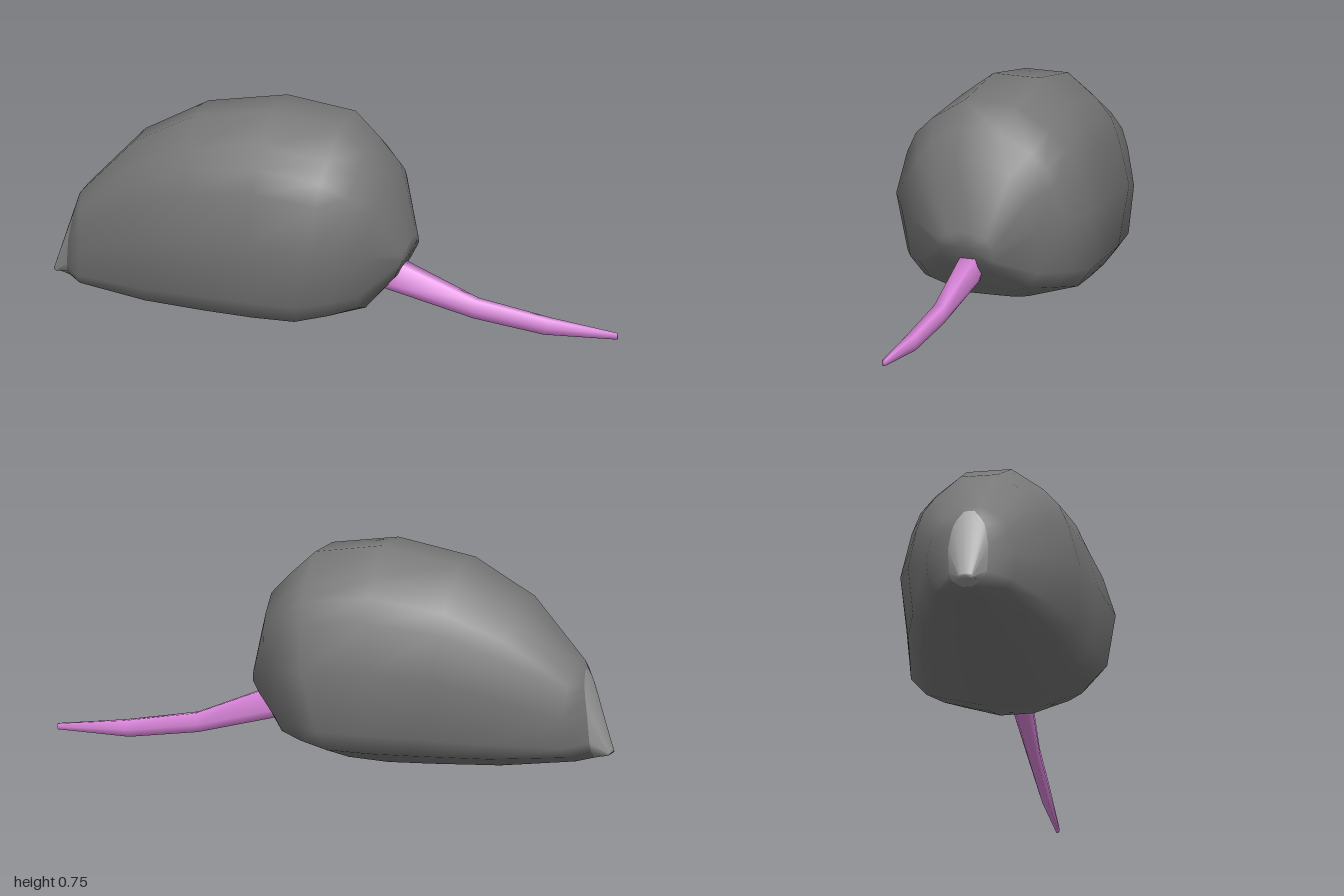
import * as THREE from 'three';

// Half outlines as [width fraction, height fraction], top to bottom
const bodyHalf = [[0.25, 1], [0.6, 0.78], [0.77, 0.62], [0.87, 0.42], [1, 0], [0.94, -0.62], [0.78, -0.83], [0.25, -1]];
const tailHalf = [[0.8, 1], [1, 0], [0.6, -1]];

// Skin slanted rings; each station is [topX, topY, midX, midY, halfWidth, bottomX, bottomY]
function loft(stations, half, capStart, capEnd) {
  const outline = [...half, ...half.map(([w, v]) => [-w, v]).reverse()];
  const n = outline.length, pos = [], idx = [];
  for (const [tx, ty, mx, my, hw, bx, by] of stations) {
    for (const [w, v] of outline) {
      const k = Math.abs(v), ex = v > 0 ? tx : bx, ey = v > 0 ? ty : by;
      pos.push(mx + (ex - mx) * k, my + (ey - my) * k, w * hw);
    }
  }
  for (let i = 0; i < stations.length - 1; i++) {
    for (let j = 0; j < n; j++) {
      const a = i * n + j, b = i * n + (j + 1) % n;
      idx.push(a, b, a + n, b, b + n, a + n);
    }
  }
  const cap = (ring, atEnd) => {
    const s = stations[ring], c = pos.length / 3;
    pos.push(s[2], s[3], 0);
    for (let j = 0; j < n; j++) {
      const a = ring * n + j, b = ring * n + (j + 1) % n;
      idx.push(...(atEnd ? [c, a, b] : [c, b, a]));
    }
  };
  if (capStart) cap(0, false);
  if (capEnd) cap(stations.length - 1, true);
  const g = new THREE.BufferGeometry();
  g.setAttribute('position', new THREE.Float32BufferAttribute(pos, 3));
  g.setIndex(idx);
  g.computeVertexNormals();
  return g;
}

function part(name, geometry, color) {
  const mesh = new THREE.Mesh(geometry, new THREE.MeshStandardMaterial({ color }));
  mesh.name = name;
  return mesh;
}

export function createModel() {
  const group = new THREE.Group();
  group.name = 'mouse';

  // Teardrop body, from the snout to the rump
  const snout = [-0.91, 0.35, -0.935, 0.2, 0.07, -0.945, 0.05];
  group.add(part('body', loft([
    snout,
    [-0.89, 0.375, -0.87, 0.2, 0.155, -0.88, 0.036],
    [-0.70, 0.58, -0.64, 0.28, 0.255, -0.62, 0.01],
    [-0.48, 0.70, -0.46, 0.33, 0.31, -0.38, 0.003],
    [-0.20, 0.75, -0.23, 0.35, 0.335, -0.22, 0],
    [0.04, 0.715, 0, 0.35, 0.36, -0.08, 0.01],
    [0.13, 0.635, 0.09, 0.33, 0.305, 0.03, 0.035],
    [0.21, 0.555, 0.175, 0.31, 0.23, 0.12, 0.06],
    [0.27, 0.31, 0.262, 0.255, 0.10, 0.225, 0.18],
  ], bodyHalf, false, true), 0x777777));

  // Pointed nose closing the snout
  group.add(part('nose', loft([
    [-1, 0.075, -1, 0.067, 0.025, -0.99, 0.058],
    snout,
  ], bodyHalf, true, false), 0x999999));

  // Tapering tail drooping to the ground
  group.add(part('tail', loft([
    [0.18, 0.235, 0.17, 0.17, 0.036, 0.15, 0.13],
    [0.25, 0.21, 0.22, 0.14, 0.035, 0.19, 0.12],
    [0.50, 0.11, 0.495, 0.07, 0.022, 0.49, 0.045],
    [0.76, 0.067, 0.75, 0.035, 0.018, 0.74, 0.012],
    [1, 0.04, 1, 0.03, 0.007, 1, 0.02],
  ], tailHalf, true, true), 0xdd88dd));

  return group;
}
